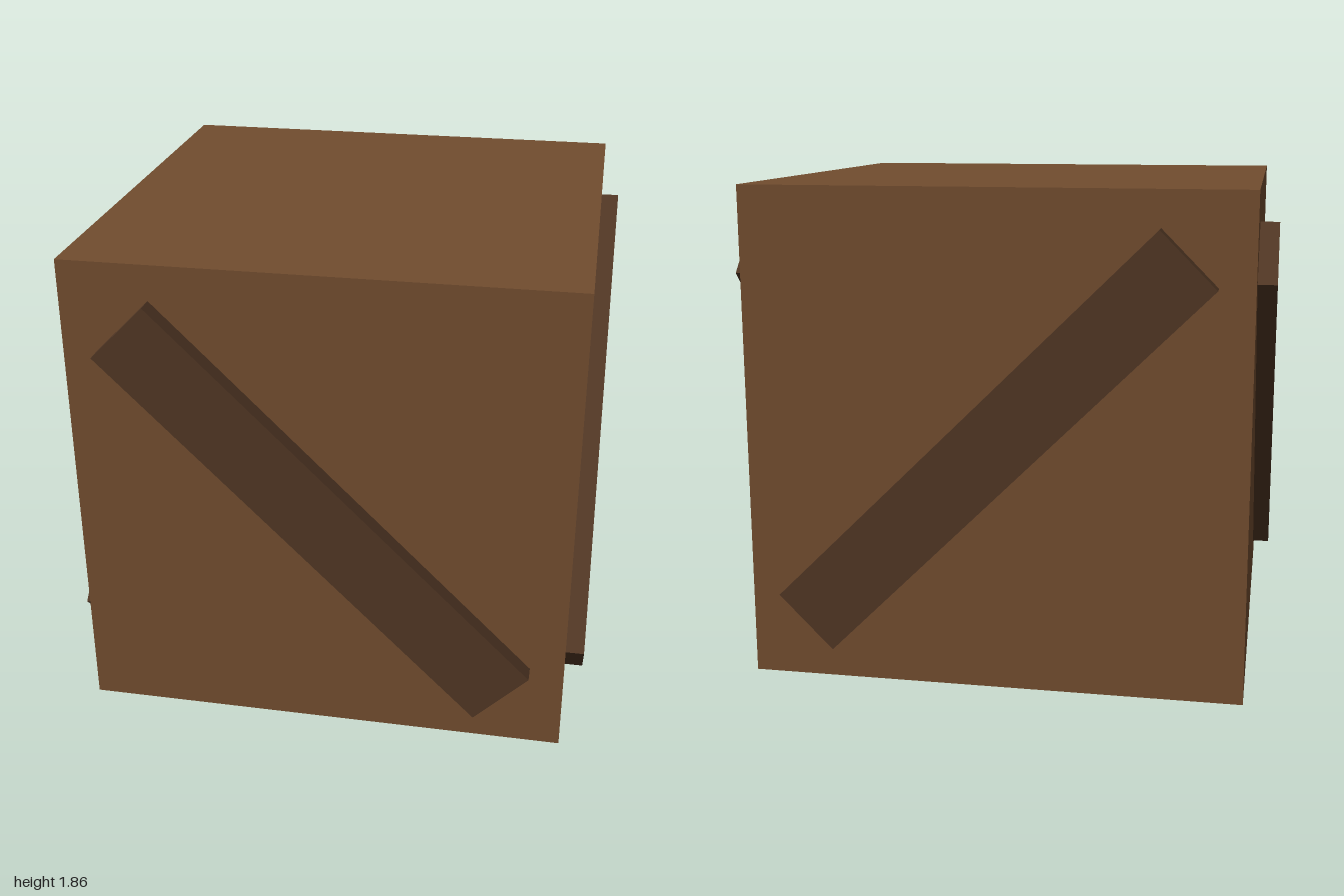
import * as THREE from 'three';

export function createModel() {
  const model = new THREE.Group();
  model.name = 'crate';

  const crateWood = new THREE.MeshStandardMaterial({ color: 0x724d2f });
  crateWood.name = 'crateWood';
  const braceWood = new THREE.MeshStandardMaterial({ color: 0x503624 });
  braceWood.name = 'braceWood';

  const size = 1.86;
  const tilt = 0.781;               // slope of the braces
  const length = 1.974, width = 0.287;
  const outer = 1, inner = 0.91;    // braces sink slightly into the walls
  const depth = outer - inner;

  // Solid crate body
  const body = new THREE.Mesh(new THREE.BoxGeometry(size, size, size), crateWood);
  body.name = 'crateBody';
  body.position.y = size / 2;
  model.add(body);

  // One diagonal brace on each wall; opposite braces run parallel
  const alongX = new THREE.BoxGeometry(length, width, depth).rotateZ(-tilt);
  const alongZ = new THREE.BoxGeometry(depth, width, length).rotateX(tilt);
  const offset = (outer + inner) / 2;

  const addBrace = (name, geometry, x, z) => {
    const brace = new THREE.Mesh(geometry, braceWood);
    brace.name = name;
    brace.position.set(x, size / 2, z);
    model.add(brace);
  };
  addBrace('frontBrace', alongX, 0, offset);
  addBrace('backBrace', alongX, 0, -offset);
  addBrace('leftBrace', alongZ, offset, 0);
  addBrace('rightBrace', alongZ, -offset, 0);

  return model;
}
